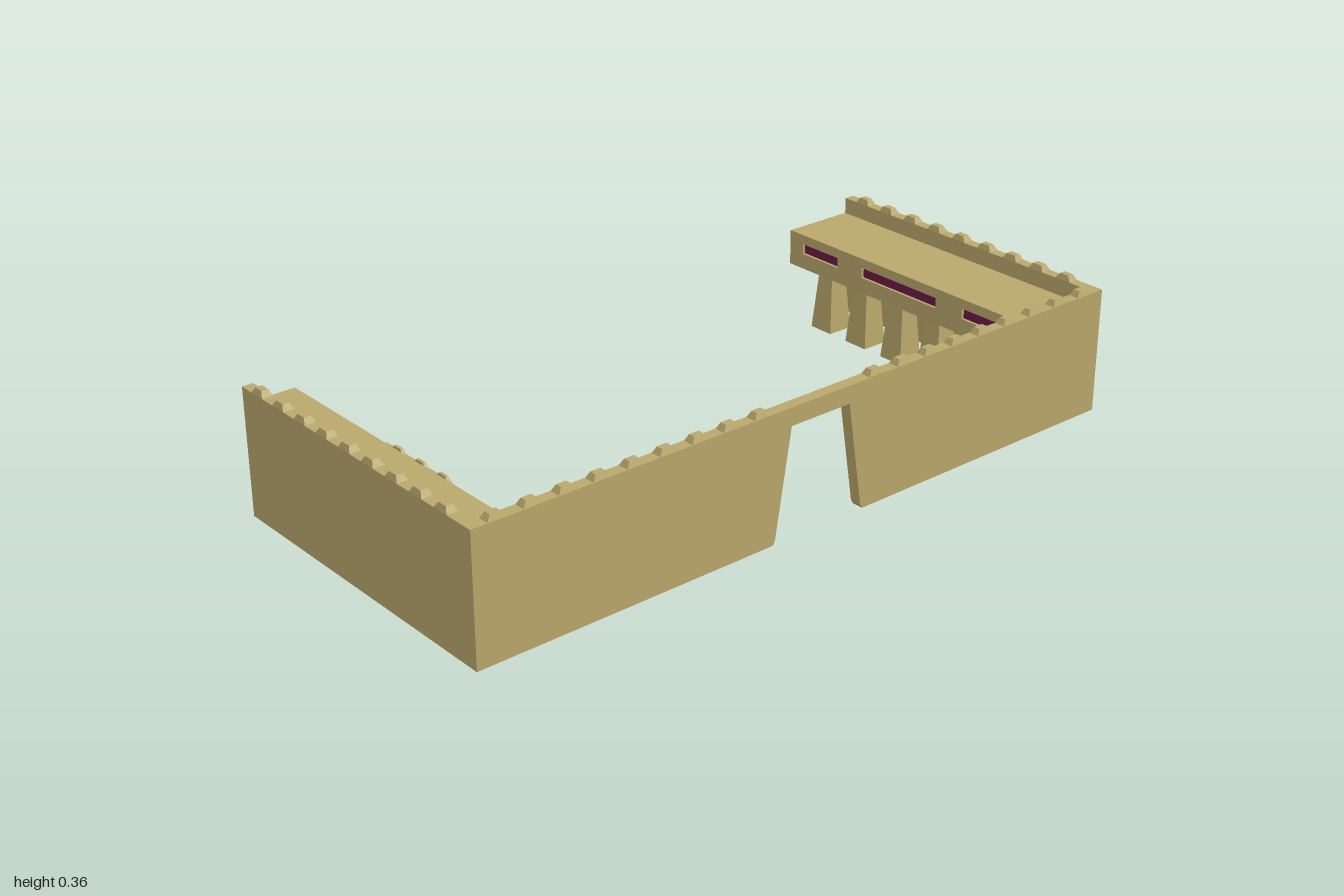
import * as THREE from 'three';

const sand = new THREE.MeshStandardMaterial({ color: 0xb9a76b, flatShading: true });
const maroon = new THREE.MeshStandardMaterial({ color: 0x6b1a45, flatShading: true });

function add(parent, geometry, name, material = sand) {
  const mesh = new THREE.Mesh(geometry, material);
  mesh.name = name;
  parent.add(mesh);
  return mesh;
}

// Box given by its limits on each axis
function block(parent, name, [x0, x1], [y0, y1], [z0, z1]) {
  const mesh = add(parent, new THREE.BoxGeometry(x1 - x0, y1 - y0, z1 - z0), name);
  mesh.position.set((x0 + x1) / 2, (y0 + y1) / 2, (z0 + z1) / 2);
}

// Box whose top is scaled by sx and sz, standing on its base
function tapered(w, h, d, sx, sz) {
  const geo = new THREE.BoxGeometry(w, h, d).translate(0, h / 2, 0);
  const p = geo.attributes.position;
  for (let i = 0; i < p.count; i++) {
    if (p.getY(i) > h / 2) p.setXYZ(i, p.getX(i) * sx, h, p.getZ(i) * sz);
  }
  geo.computeVertexNormals();
  return geo;
}

function polygon(points) {
  return new THREE.Shape(points.map(([x, y]) => new THREE.Vector2(x, y)));
}

// Facade slab facing +z with recessed windows; windows are [centre, width]
const REVEAL = 0.01;
function facade(parent, name, width, height, windows, y0, y1) {
  const group = new THREE.Group();
  group.name = name;
  const shape = polygon([[-width / 2, 0], [width / 2, 0], [width / 2, height], [-width / 2, height]]);
  for (const [c, w] of windows) {
    const a = c - w / 2, b = c + w / 2;
    shape.holes.push(polygon([[a, y0], [a, y1], [b, y1], [b, y0]]));
    const pane = add(group, new THREE.PlaneGeometry(w, y1 - y0), 'windowPane', maroon);
    pane.position.set(c, (y0 + y1) / 2, -REVEAL + 0.002);
  }
  const geo = new THREE.ExtrudeGeometry(shape, { depth: REVEAL, bevelEnabled: false });
  add(group, geo.translate(0, 0, -REVEAL), 'windowWall');
  parent.add(group);
  return group;
}

const WALL = 0.345, X = 0.462, INNER = 0.43, PITCH = 0.0935;

function merlon(parent, x, y, z, alongZ, depth = 0.03, height = 0.015) {
  const mesh = add(parent, tapered(0.048, height, depth, 0.58, 0.6), 'merlon');
  mesh.position.set(x, y, z);
  if (alongZ) mesh.rotation.y = Math.PI / 2;
}

// Low building against the front ledge; side = +1 or -1 is the face with a window
function bunker(parent, x0, x1, side, windowXs, merlonXs, sideMerlons) {
  const g = new THREE.Group();
  g.name = 'bunker';
  parent.add(g);
  const H = 0.155, Z0 = 0.70, Z1 = 0.86, mid = (x0 + x1) / 2;
  const core = side > 0 ? [x0, x1 - REVEAL] : [x0 + REVEAL, x1];
  block(g, 'bunkerBody', core, [0, H], [Z0 + REVEAL, Z1]);

  const front = facade(g, 'bunkerFacade', x1 - x0, H, windowXs.map(x => [mid - x, 0.045]), 0.103, 0.13);
  front.position.set(mid, 0, Z0);
  front.rotation.y = Math.PI;

  const end = facade(g, 'bunkerSide', Z1 - Z0 - REVEAL, H, [[side * 0.015, 0.05]], 0.103, 0.13);
  end.position.set(side > 0 ? x1 : x0, 0, (Z0 + REVEAL + Z1) / 2);
  end.rotation.y = side * Math.PI / 2;

  for (const x of merlonXs) merlon(g, x, H, Z0 + 0.007, false, 0.013, 0.013);
  for (const x of sideMerlons) merlon(g, x, H, 0.78, true, 0.013, 0.013);
}

export function createModel() {
  const root = new THREE.Group();
  root.name = 'fortress';

  // Front and back walls
  block(root, 'frontWall', [-X, INNER], [0, WALL], [0.97, 1]);
  block(root, 'backWall', [-X, INNER], [0, WALL], [-1, -0.97]);

  // Long side wall with the tapered gateway
  const outline = polygon([
    [-1, 0], [-0.147, 0], [-0.14, 0.012], [-0.093, 0.297], [0.093, 0.297],
    [0.14, 0.012], [0.147, 0], [1, 0], [1, WALL], [-1, WALL],
  ]);
  const side = add(root, new THREE.ExtrudeGeometry(outline, { depth: X - INNER, bevelEnabled: false }), 'gateWall');
  side.rotation.y = Math.PI / 2;
  side.position.x = INNER;

  // Merlons along all walls
  for (let i = 0; i < 9; i++) {
    for (const s of [-1, 1]) {
      merlon(root, -0.395 + i * PITCH, WALL, s * 0.985, false);
      merlon(root, (X + INNER) / 2, WALL, s * (0.183 + i * PITCH), true);
    }
  }

  // Raised gallery along the back wall, with slit windows
  const gallery = new THREE.Group();
  gallery.name = 'gallery';
  root.add(gallery);
  const Y0 = 0.2, Y1 = 0.3, Z = -0.757;
  block(gallery, 'galleryBody', [-X, INNER], [Y0, Y1], [-0.97, Z - REVEAL]);
  const mid = (INNER - X) / 2;
  const slits = [[-0.34 - mid, 0.14], [-0.035 - mid, 0.28], [0.27 - mid, 0.14]];
  facade(gallery, 'galleryFacade', INNER + X, Y1 - Y0, slits, 0.044, 0.073).position.set(mid, Y0, Z);

  // Corner brace between gallery and side wall
  const brace = polygon([[0.38, -Z], [INNER, -Z], [INNER, 0.725]]);
  const braceGeo = new THREE.ExtrudeGeometry(brace, { depth: Y1 - Y0, bevelEnabled: false });
  const braceMesh = add(gallery, braceGeo, 'cornerBrace');
  braceMesh.rotation.x = -Math.PI / 2;
  braceMesh.position.y = Y0;

  // Tapered pillars under the gallery
  for (let i = 0; i < 6; i++) {
    add(gallery, tapered(0.078, Y0, 0.078, 0.6, 0.6), 'pillar').position.set(-0.39 + i * 0.14, 0, -0.855);
  }

  // Ledge along the front wall and the bunkers built against it
  block(root, 'frontLedge', [-X, INNER], [0, 0.3], [0.86, 0.97]);
  bunker(root, -0.322, -0.047, 1, [-0.255, -0.185, -0.115], [-0.26, -0.165, -0.072], [-0.315, -0.054]);
  bunker(root, 0.19, INNER, -1, [0.218, 0.286, 0.354], [0.255, 0.348], [0.197]);

  return root;
}
